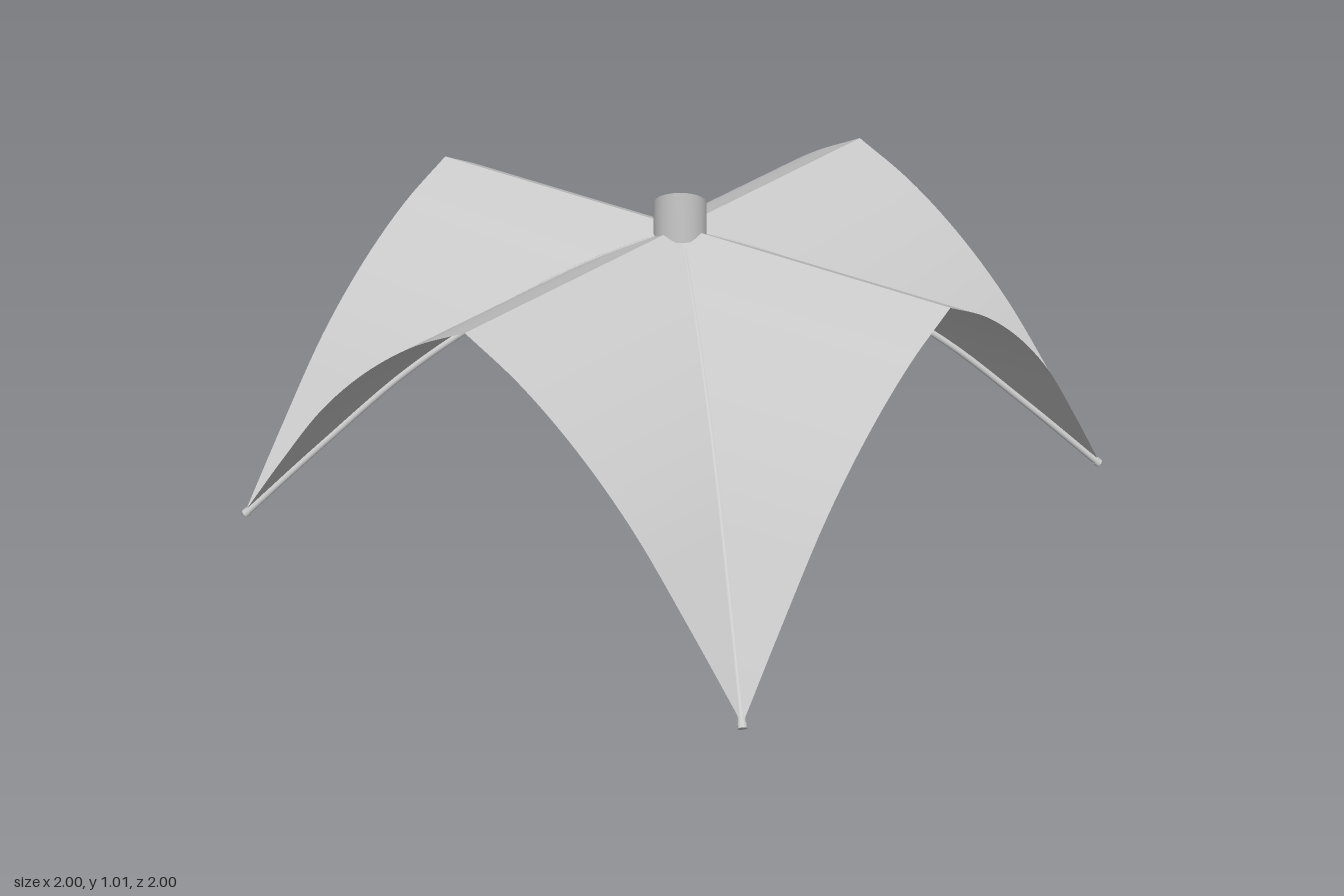
import * as THREE from 'three';

const HALF = 0.985;

// Arch profile: distance from the ridge (x) against height (y)
const profile = new THREE.CatmullRomCurve3([
  [0, 0.92], [0.2, 0.82], [0.4, 0.68], [0.6, 0.495], [0.8, 0.253], [HALF, 0.015],
].map(([d, h]) => new THREE.Vector3(d, h, 0)));
const arch = profile.getPoints(30);

const grey = new THREE.MeshStandardMaterial({ color: 0xcccccc });
const sheet = new THREE.MeshStandardMaterial({ color: 0xcccccc, side: THREE.DoubleSide });

// Ruled panel between a diagonal rib and the outer edge; swapped mirrors it over the diagonal
function panelGeometry(swapped) {
  const pos = [];
  const index = [];
  arch.forEach((p, i) => {
    for (const far of [p.x, HALF]) {
      if (swapped) pos.push(far, p.y, p.x);
      else pos.push(p.x, p.y, far);
    }
    if (i < arch.length - 1) {
      const a = 2 * i, b = a + 1, c = a + 2, d = a + 3;
      if (swapped) index.push(a, c, b, b, c, d);
      else index.push(a, b, c, b, d, c);
    }
  });
  const geo = new THREE.BufferGeometry();
  geo.setAttribute('position', new THREE.Float32BufferAttribute(pos, 3));
  geo.setIndex(index);
  geo.computeVertexNormals();
  return geo;
}

function add(parent, name, geometry, material, y = 0) {
  const mesh = new THREE.Mesh(geometry, material);
  mesh.name = name;
  mesh.position.y = y;
  parent.add(mesh);
  return mesh;
}

export function createModel() {
  const model = new THREE.Group();
  model.name = 'canopy';

  const panels = [panelGeometry(false), panelGeometry(true)];

  // Diagonal rib running just under the seam, from the hub to the foot
  const ribPath = new THREE.CatmullRomCurve3(
    arch.filter((p) => p.x > 0.035).map((p) => new THREE.Vector3(p.x, p.y - 0.009, p.x)),
  );
  const ribGeo = new THREE.TubeGeometry(ribPath, 40, 0.012, 10);
  const footPoint = ribPath.getPoint(1);
  const footDir = ribPath.getTangent(1);
  const tipGeo = new THREE.CylinderGeometry(0.014, 0.014, 0.016, 10);

  // Four legs, each with two panels and a rib
  for (let i = 0; i < 4; i++) {
    const leg = new THREE.Group();
    leg.name = 'leg' + (i + 1);
    leg.rotation.y = (i * Math.PI) / 2;
    panels.forEach((geo, k) => add(leg, k ? 'sidePanel' : 'frontPanel', geo, sheet));
    add(leg, 'rib', ribGeo, grey);
    const tip = add(leg, 'ribTip', tipGeo, grey);
    tip.position.copy(footPoint).addScaledVector(footDir, -0.004);
    tip.quaternion.setFromUnitVectors(new THREE.Vector3(0, 1, 0), footDir);
    model.add(leg);
  }

  // Hub: open collar above the canopy, core and flange below it
  add(model, 'hubCollar', new THREE.CylinderGeometry(0.082, 0.082, 0.1, 32, 1, true), sheet, 0.95);
  add(model, 'hubCore', new THREE.CylinderGeometry(0.045, 0.045, 0.02, 32), grey, 0.887);
  add(model, 'hubFlange', new THREE.CylinderGeometry(0.066, 0.066, 0.018, 32), grey, 0.872);
  add(model, 'hubPin', new THREE.CylinderGeometry(0.014, 0.014, 0.03, 16), grey, 0.908);

  return model;
}
